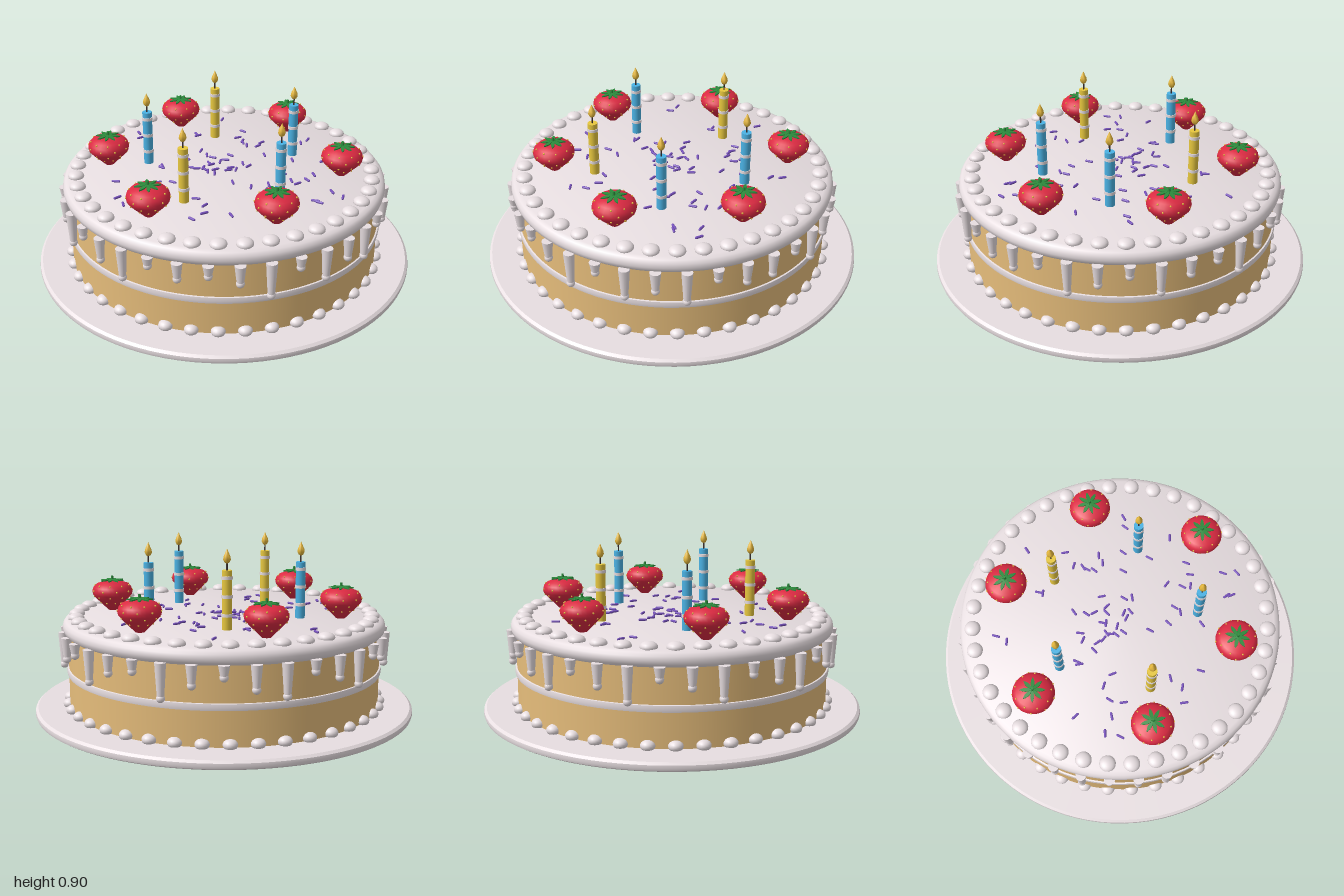
import * as THREE from 'three';
import { toCreasedNormals } from 'three/addons/utils/BufferGeometryUtils.js';

const paint = (name, color) => {
  const m = new THREE.MeshStandardMaterial({ color });
  m.name = name;
  return m;
};

// Deterministic pseudo random numbers
function seeded(seed) {
  let s = seed;
  return () => (s = (s * 16807) % 2147483647) / 2147483647;
}

const lathe = (pts, seg, crease = 0.7) => toCreasedNormals(
  new THREE.LatheGeometry(pts.map(([r, y]) => new THREE.Vector2(r, y)), seg), crease);

export function createModel() {
  const cream = paint('cream', 0xf3e9ec);
  const sponge = paint('sponge', 0xe6bd7b);
  const red = paint('strawberry red', 0xdc2a42);
  const green = paint('leaf green', 0x2c8a3c);
  const gold = paint('seed and flame gold', 0xeebf40);
  const blue = paint('candle blue', 0x4ab2e4);
  const yellow = paint('candle yellow', 0xe9c93f);
  const purple = paint('sprinkle purple', 0x7650bc);
  const dark = paint('wick', 0x3a3030);

  const cake = new THREE.Group();
  cake.name = 'cake';
  const add = (parent, name, geo, mat, x = 0, y = 0, z = 0) => {
    const m = new THREE.Mesh(geo, mat);
    m.name = name;
    m.position.set(x, y, z);
    parent.add(m);
    return m;
  };
  const group = (name, parent = cake) => {
    const g = new THREE.Group();
    g.name = name;
    parent.add(g);
    return g;
  };
  // Calls fn(x, z, angle, index) for n places round a circle, starting at the front
  const ring = (n, r, fn, start = 0) => {
    for (let i = 0; i < n; i++) {
      const a = start + (i / n) * Math.PI * 2;
      fn(Math.sin(a) * r, Math.cos(a) * r, a, i);
    }
  };

  // Board, sponge, filling and icing
  add(cake, 'board', lathe([[0, 0], [0.985, 0], [0.996, 0.007], [1, 0.02], [0.998, 0.034], [0.985, 0.045], [0, 0.045]], 96), cream);
  add(cake, 'sponge', new THREE.CylinderGeometry(0.82, 0.82, 0.4, 96), sponge, 0, 0.245, 0);
  add(cake, 'filling', lathe([[0.81, 0.218], [0.828, 0.221], [0.831, 0.237], [0.828, 0.253], [0.81, 0.256]], 96), cream);
  add(cake, 'icing', lathe([[0, 0.432], [0.828, 0.432], [0.841, 0.445], [0.846, 0.465], [0.842, 0.485], [0.83, 0.5], [0.81, 0.508], [0, 0.508]], 96), cream);

  // Pearls piped round the base and the top edge
  const pearl = new THREE.SphereGeometry(1, 16, 12);
  const basePearls = group('basePearls');
  ring(40, 0.82, (x, z) => add(basePearls, 'pearl', pearl, cream, x, 0.06, z).scale.set(0.036, 0.027, 0.036));
  const topPearls = group('topPearls');
  ring(40, 0.775, (x, z) => add(topPearls, 'pearl', pearl, cream, x, 0.513, z).scale.set(0.042, 0.026, 0.042));

  // Icing drips of varied length, each ending in a drop
  const drips = group('drips');
  const tips = [0.36, 0.26, 0.31, 0.25, 0.36, 0.31, 0.3, 0.36, 0.25, 0.31, 0.36, 0.26,
    0.33, 0.36, 0.25, 0.32, 0.36, 0.3, 0.26, 0.36, 0.31, 0.25, 0.36, 0.32,
    0.26, 0.36, 0.31, 0.25, 0.36, 0.3, 0.26, 0.37, 0.33, 0.36, 0.32, 0.24];
  ring(36, 0.842, (x, z, a, i) => {
    const len = 0.438 - tips[i] - 0.02;
    add(drips, 'drip', new THREE.CylinderGeometry(0.028, 0.017, len, 12), cream, x, 0.438 - len / 2, z);
    add(drips, 'drop', pearl, cream, x, tips[i] + 0.02, z).scale.setScalar(0.021);
  });

  // Candles
  const stick = new THREE.CylinderGeometry(0.025, 0.025, 0.295, 20);
  const stripe = new THREE.CylinderGeometry(0.028, 0.028, 0.016, 20);
  const wick = new THREE.CylinderGeometry(0.004, 0.004, 0.05, 8);
  const flame = lathe([[0, 0.83], [0.012, 0.838], [0.019, 0.852], [0.016, 0.868], [0.008, 0.886], [0, 0.905]], 16, 1);
  const candleColours = [blue, blue, yellow, blue, yellow];
  ring(5, 0.41, (x, z, a, i) => {
    const c = group('candle');
    c.position.set(x, 0, z);
    add(c, 'stick', stick, candleColours[(6 - i) % 5], 0, 0.6525, 0);
    for (const y of [0.58, 0.672, 0.764]) add(c, 'stripe', stripe, cream, 0, y, 0);
    add(c, 'wick', wick, dark, 0, 0.82, 0);
    add(c, 'flame', flame, gold);
  }, Math.PI / 10);

  // Strawberries, tip down
  const profile = [[0, 0.497], [0.022, 0.506], [0.05, 0.535], [0.083, 0.568], [0.104, 0.592],
    [0.108, 0.61], [0.102, 0.632], [0.084, 0.65], [0.05, 0.662], [0, 0.666]];
  const berry = lathe(profile, 28, 1);
  const seed = new THREE.SphereGeometry(0.005, 6, 5);
  const leafShape = new THREE.Shape();
  leafShape.moveTo(0, 0);
  leafShape.quadraticCurveTo(0.019, 0.03, 0, 0.062);
  leafShape.quadraticCurveTo(-0.019, 0.03, 0, 0);
  const leaf = new THREE.ExtrudeGeometry(leafShape, { depth: 0.006, bevelEnabled: false, curveSegments: 6 });
  leaf.rotateX(Math.PI / 2);
  const stem = new THREE.CylinderGeometry(0.006, 0.008, 0.03, 8);
  ring(6, 0.615, (x, z, a) => {
    const s = group('strawberry');
    s.position.set(x, 0, z);
    s.rotation.y = a;
    add(s, 'berry', berry, red);
    [[0.066, 0.551], [0.096, 0.582], [0.107, 0.615], [0.092, 0.644]].forEach(([r, y], row) =>
      ring(9, r, (sx, sz) => add(s, 'seed', seed, gold, sx, y, sz), row * 0.35));
    ring(8, 0.003, (lx, lz, la) => {
      const l = add(s, 'leaf', leaf, green, lx, 0.676, lz);
      l.rotation.set(0.1, la, 0, 'YXZ');
    });
    add(s, 'stem', stem, green, 0, 0.678, 0);
  }, -0.02);

  // Sprinkles, denser in the middle and clear of the strawberries
  const sprinkles = group('sprinkles');
  const rod = new THREE.CapsuleGeometry(0.0065, 0.032, 3, 8);
  rod.rotateZ(Math.PI / 2);
  const rand = seeded(4127);
  for (let n = 0; n < 70;) {
    const a = rand() * Math.PI * 2, r = 0.03 + rand() * 0.66, turn = rand() * Math.PI;
    const near = Math.abs(Math.round(a / (Math.PI / 3)) * (Math.PI / 3) - a);
    if (r > 0.48 && near < 0.22) continue;
    add(sprinkles, 'sprinkle', rod, purple, Math.sin(a) * r, 0.513, Math.cos(a) * r).rotation.y = turn;
    n++;
  }
  return cake;
}
